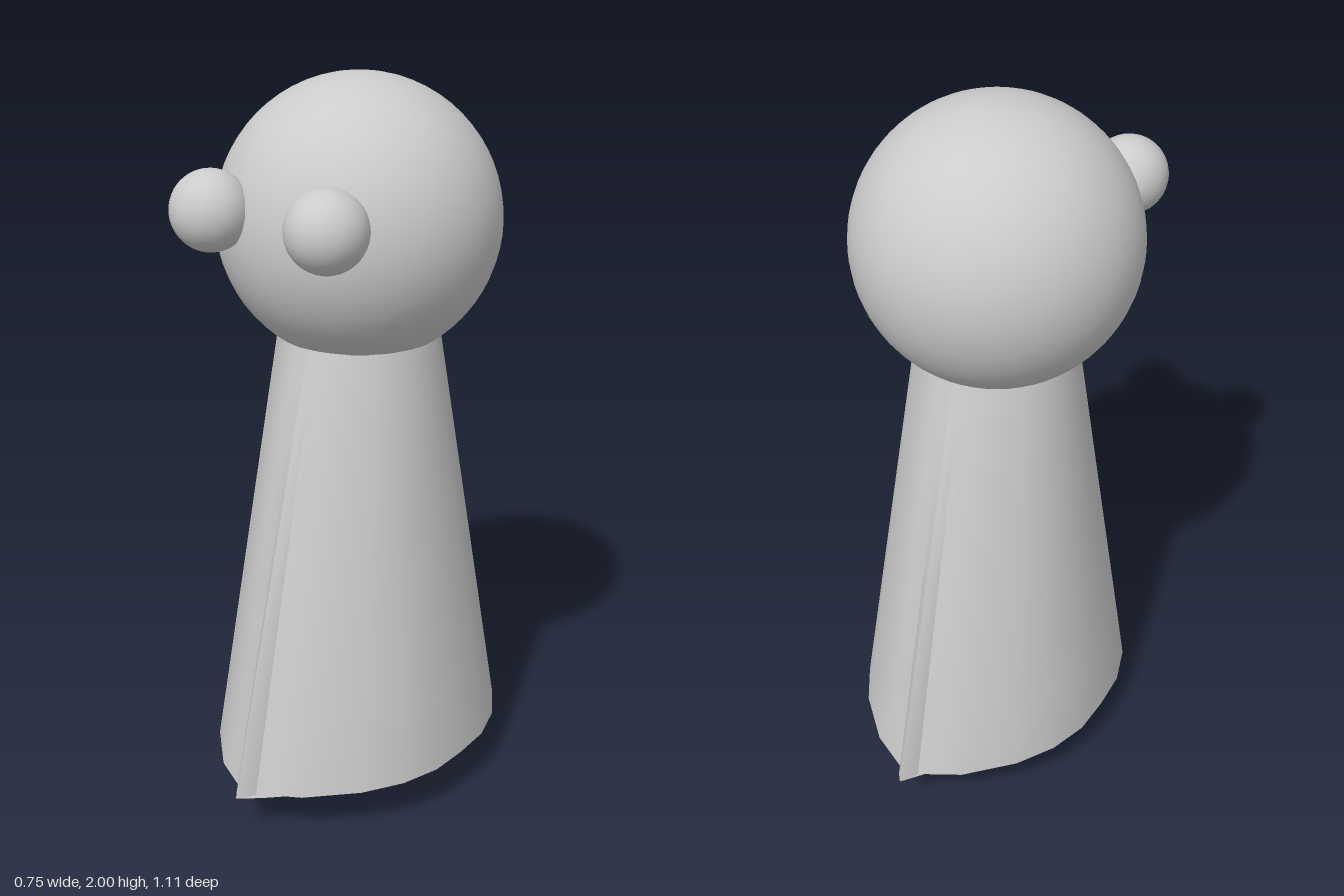
import * as THREE from 'three';
import { toCreasedNormals } from 'three/addons/utils/BufferGeometryUtils.js';

// Joins equal-length closed rings (listed bottom to top, running +x to +z) into a skin
function loft(rings, crease) {
  const n = rings[0].length;
  const index = [];
  for (let r = 0; r < rings.length - 1; r++) {
    for (let i = 0; i < n; i++) {
      const a = r * n + i, b = r * n + (i + 1) % n;
      index.push(a, a + n, b, b, a + n, b + n);
    }
  }
  const g = new THREE.BufferGeometry();
  g.setAttribute('position', new THREE.Float32BufferAttribute(rings.flat(2), 3));
  g.setIndex(index);
  return toCreasedNormals(g, crease);
}

// Quarter outline of the hem from the side (+x) to the pointed front (+z)
const HEM = [[0.36, 0], [0.355, 0.115], [0.32, 0.225], [0.255, 0.33], [0.14, 0.445],
  [0.085, 0.475], [0.03, 0.505], [0.018, 0.53], [0, 0.553]];

// Mirrors a quarter outline into a full loop
function fullLoop(quarter) {
  const half = [...quarter, ...quarter.slice(0, -1).reverse().map(([x, z]) => [-x, z])];
  return [...half, ...half.slice(1, -1).reverse().map(([x, z]) => [x, -z])];
}

export function createModel() {
  const group = new THREE.Group();
  const material = new THREE.MeshStandardMaterial({ color: 0xcccccc, side: THREE.DoubleSide });
  const add = (name, geometry, x = 0, y = 0, z = 0) => {
    const mesh = new THREE.Mesh(geometry, material);
    mesh.name = name;
    mesh.position.set(x, y, z);
    group.add(mesh);
  };

  // Head and bulging eyes
  add('head', new THREE.SphereGeometry(0.375, 48, 32), 0, 1.625, 0);
  for (const s of [1, -1]) {
    add(s > 0 ? 'leftEye' : 'rightEye', new THREE.SphereGeometry(0.104, 32, 24), s * 0.182, 1.688, 0.371);
  }

  // Robe: round neck flaring to a hem pinched front and back
  const hem = fullLoop(HEM);
  const neck = fullLoop(HEM.map(([x, z]) => {
    const a = Math.atan2(z / 0.553, x / 0.36);
    return [0.215 * Math.cos(a), 0.215 * Math.sin(a)];
  }));
  const robe = [];
  for (let k = 0; k <= 6; k++) {
    const t = k / 6;
    robe.push(hem.map(([x, z], i) => [
      THREE.MathUtils.lerp(x, neck[i][0], t),
      0.14 + 1.2 * t,
      THREE.MathUtils.lerp(z, neck[i][1], t),
    ]));
  }
  add('robe', loft(robe, 0.45));

  // Rounded underside, sagging toward the middle
  const under = [0.01, 0.2, 0.4, 0.6, 0.8, 1].map((r) =>
    hem.map(([x, z]) => [x * r, 0.02 + 0.12 * Math.pow(r, 1.7), z * r]));
  add('underside', loft(under, 0.6));

  // Thin keel running under the robe from front point to back point
  const keel = [];
  for (let k = 0; k <= 16; k++) {
    const t = k / 8 - 1;
    const w = 0.125 * (1 - t * t) + 0.002;
    const y = 0.004 + 0.134 * Math.pow(Math.abs(t), 1.8);
    const h = 0.06 * (1 - t * t) + 0.002;
    const z = 0.55 * t;
    keel.push([[w, y + h * 0.3, z], [0, y, z], [-w, y + h * 0.3, z], [0, y + h, z]]);
  }
  add('keel', loft(keel, 0.4));

  return group;
}
